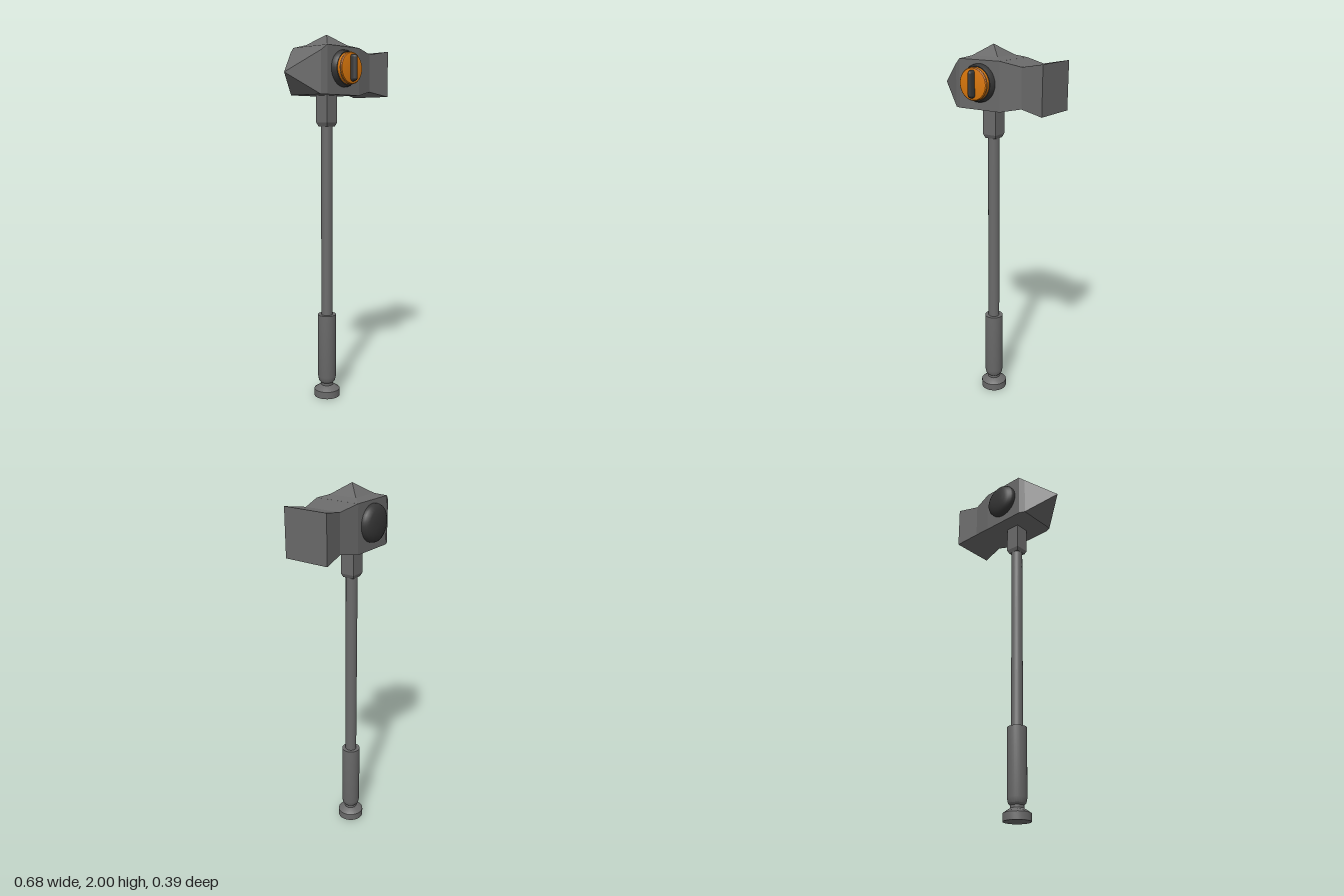
import * as THREE from 'three';
import { toCreasedNormals } from 'three/addons/utils/BufferGeometryUtils.js';

const CX = -0.03, CZ = -0.023; // axis of the shaft

const material = (name, color) => {
  const m = new THREE.MeshStandardMaterial({ color });
  m.name = name;
  return m;
};

// Skin a list of four-cornered rings with flat faces and close both ends
function loft(rings) {
  const pos = [];
  const tri = (a, b, c) => {
    const area = new THREE.Triangle(a, b, c).getArea();
    if (area > 1e-8) for (const p of [a, b, c]) pos.push(p.x, p.y, p.z);
  };
  const quad = (a, b, c, d) => { tri(a, b, c); tri(a, c, d); };
  for (let r = 0; r < rings.length - 1; r++) {
    const a = rings[r], b = rings[r + 1];
    for (let i = 0; i < 4; i++) {
      const j = (i + 1) % 4;
      quad(a[i], a[j], b[j], b[i]);
    }
  }
  quad(...[...rings[0]].reverse());
  quad(...rings[rings.length - 1]);
  const g = new THREE.BufferGeometry();
  g.setAttribute('position', new THREE.Float32BufferAttribute(pos, 3));
  g.computeVertexNormals();
  return g;
}

// Square ring across x, centred on height y
const ringX = (x, y, h) =>
  [[-h, h], [-h, -h], [h, -h], [h, h]].map(([dy, dz]) => new THREE.Vector3(x, y + dy, CZ + dz));

// Square ring across y, centred on the shaft
const ringY = (y, h) =>
  [[-h, h], [h, h], [h, -h], [-h, -h]].map(([dx, dz]) => new THREE.Vector3(CX + dx, y, CZ + dz));

const turned = (points, sides = 32) => toCreasedNormals(
  new THREE.LatheGeometry(points.map(([r, y]) => new THREE.Vector2(r, y)), sides), 0.6);

export function createModel() {
  const group = new THREE.Group();
  const steel = material('steel grey', 0x6a6a6a);
  const dark = material('dark grey', 0x363636);
  const orange = material('orange', 0xdc780c);

  const add = (name, geometry, mat, x = 0, y = 0, z = 0) => {
    const mesh = new THREE.Mesh(geometry, mat);
    mesh.name = name;
    mesh.position.set(x, y, z);
    group.add(mesh);
    return mesh;
  };

  // Head: spike, central block, waist and striking face
  add('hammerHead', loft([
    ringX(-0.34, 1.79, 0),
    ringX(-0.188, 1.793, 0.11),
    ringX(-0.155, 1.807, 0.124),
    ringX(0.093, 1.807, 0.124),
    ringX(0.206, 1.807, 0.101),
    ringX(0.338, 1.807, 0.124),
  ]), steel);

  // Low pyramid on top of the head
  add('crown', loft([ringY(1.925, 0.124), ringY(1.931, 0.124), ringY(1.945, 0.078), ringY(2, 0)]), steel);

  // Square collar under the head
  add('collar', loft([ringY(1.52, 0.031), ringY(1.54, 0.04), ringY(1.69, 0.04)]), steel);

  // Shaft, grip and pommel
  add('shaft', new THREE.CylinderGeometry(0.031, 0.031, 1.2, 24), steel, CX, 1.06, CZ);
  add('grip', turned([[0, 0.06], [0.035, 0.06], [0.035, 0.078], [0.045, 0.088],
    [0.051, 0.115], [0.051, 0.474], [0, 0.474]], 24), steel, CX, 0, CZ);
  add('pommel', turned([[0, 0], [0.072, 0], [0.072, 0.04], [0.036, 0.064], [0, 0.064]], 24), steel, CX, 0, CZ);

  // Round boss on the back
  const boss = turned([[0.096, 0], [0.095, 0.018], [0.09, 0.028], [0.074, 0.038],
    [0.052, 0.045], [0.025, 0.048], [0, 0.049]]).rotateX(-Math.PI / 2);
  add('backBoss', boss, dark, CX, 1.818, -0.146);

  // Dial on the front: dark seat, orange knob, dark band and finger grip
  const seat = turned([[0.096, 0], [0.094, 0.015], [0.086, 0.031], [0, 0.031]]).rotateX(Math.PI / 2);
  add('dialSeat', seat, dark, CX, 1.818, 0.1);
  const knob = turned([[0.082, 0], [0.082, 0.024], [0.078, 0.028], [0.06, 0.031], [0, 0.032]]).rotateX(Math.PI / 2);
  add('dialKnob', knob, orange, CX, 1.818, 0.13);
  const band = new THREE.CylinderGeometry(0.0826, 0.0826, 0.004, 32, 1, true).rotateX(Math.PI / 2);
  add('dialBand', band, dark, CX, 1.818, 0.148);
  const fingerGrip = add('dialGrip', new THREE.CapsuleGeometry(0.016, 0.106, 6, 16), dark, CX, 1.819, 0.162);
  fingerGrip.scale.z = 1.9;

  return group;
}
